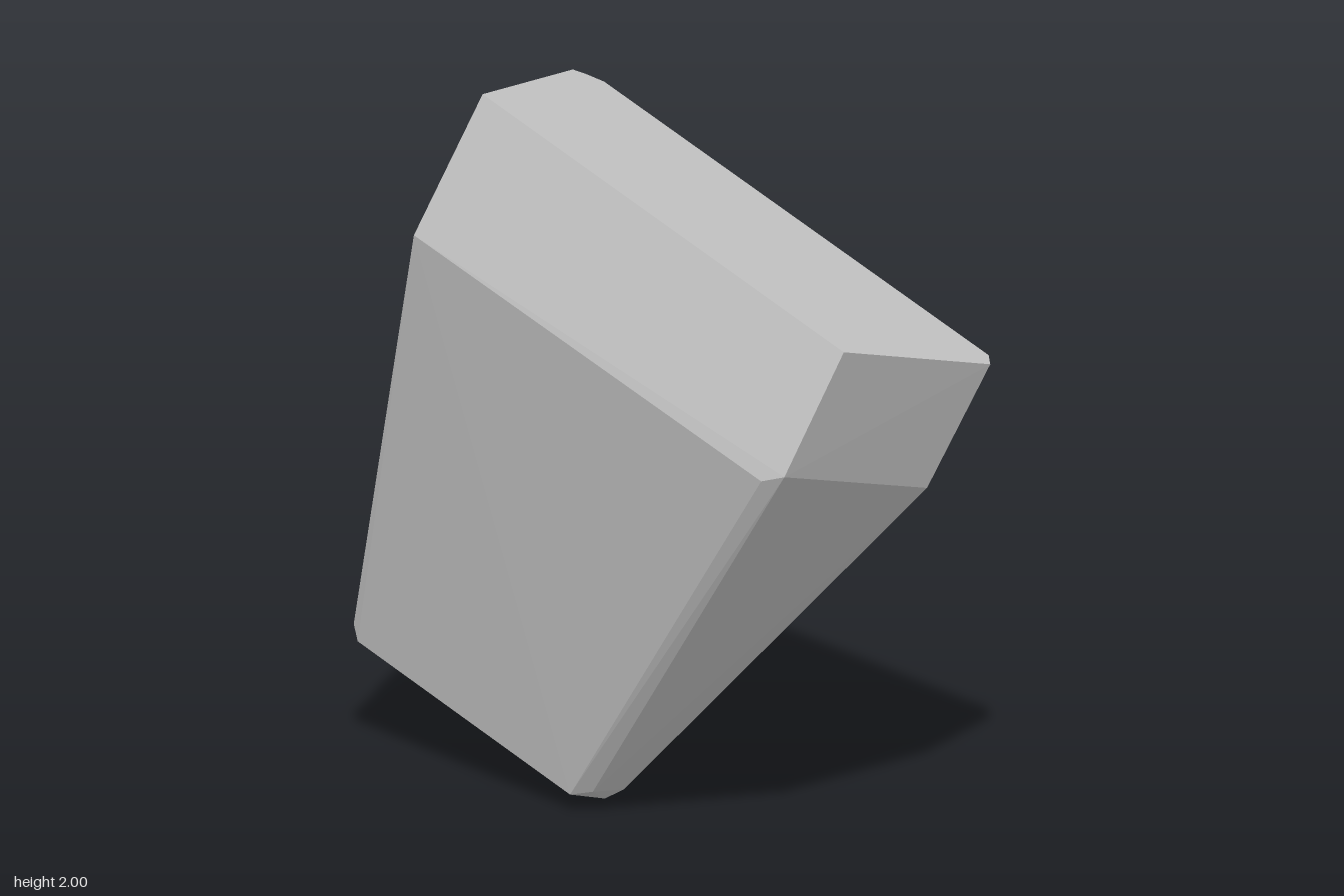
import * as THREE from 'three';
import { ConvexGeometry } from 'three/addons/geometries/ConvexGeometry.js';

export function createModel() {
  const group = new THREE.Group();
  group.name = 'wedgeStone';

  const stoneGrey = new THREE.MeshStandardMaterial({ color: 0xc6c6c6 });
  stoneGrey.name = 'stoneGrey';

  // Sloping top face
  const top = [
    [0.41, 1.565, 0.79], [-0.51, 2.0, -0.17],
    [0.83, 1.366, 0.30], [0.83, 1.366, 0.22],
    [-0.15, 1.83, -0.788], [-0.20, 1.853, -0.788], [-0.235, 1.87, -0.775],
  ];
  // Shoulder where the block starts to taper
  const shoulder = [
    [-0.695, 1.605, -0.17], [0.19, 1.19, 0.745], [0.25, 1.215, 0.79],
    [0.66, 1.02, 0.30], [0.73, 1.10, 0.155], [0.73, 1.19, 0.12],
    [-0.01, 1.52, -0.62], [-0.24, 1.40, -0.788], [-0.40, 1.465, -0.788],
  ];
  // Narrow foot with chipped corners
  const foot = [
    [-0.83, 0.35, -0.668], [-0.735, 0.33, -0.788],
    [-0.82, 0.305, -0.655], [-0.73, 0.26, -0.75],
    [-0.28, 0.05, -0.075], [-0.22, 0.065, -0.05],
    [-0.18, 0.0, -0.19], [-0.13, 0.03, -0.175],
  ];

  const points = [...top, ...shoulder, ...foot].map((p) => new THREE.Vector3(...p));
  const stone = new THREE.Mesh(new ConvexGeometry(points), stoneGrey);
  stone.name = 'stone';
  group.add(stone);
  return group;
}
